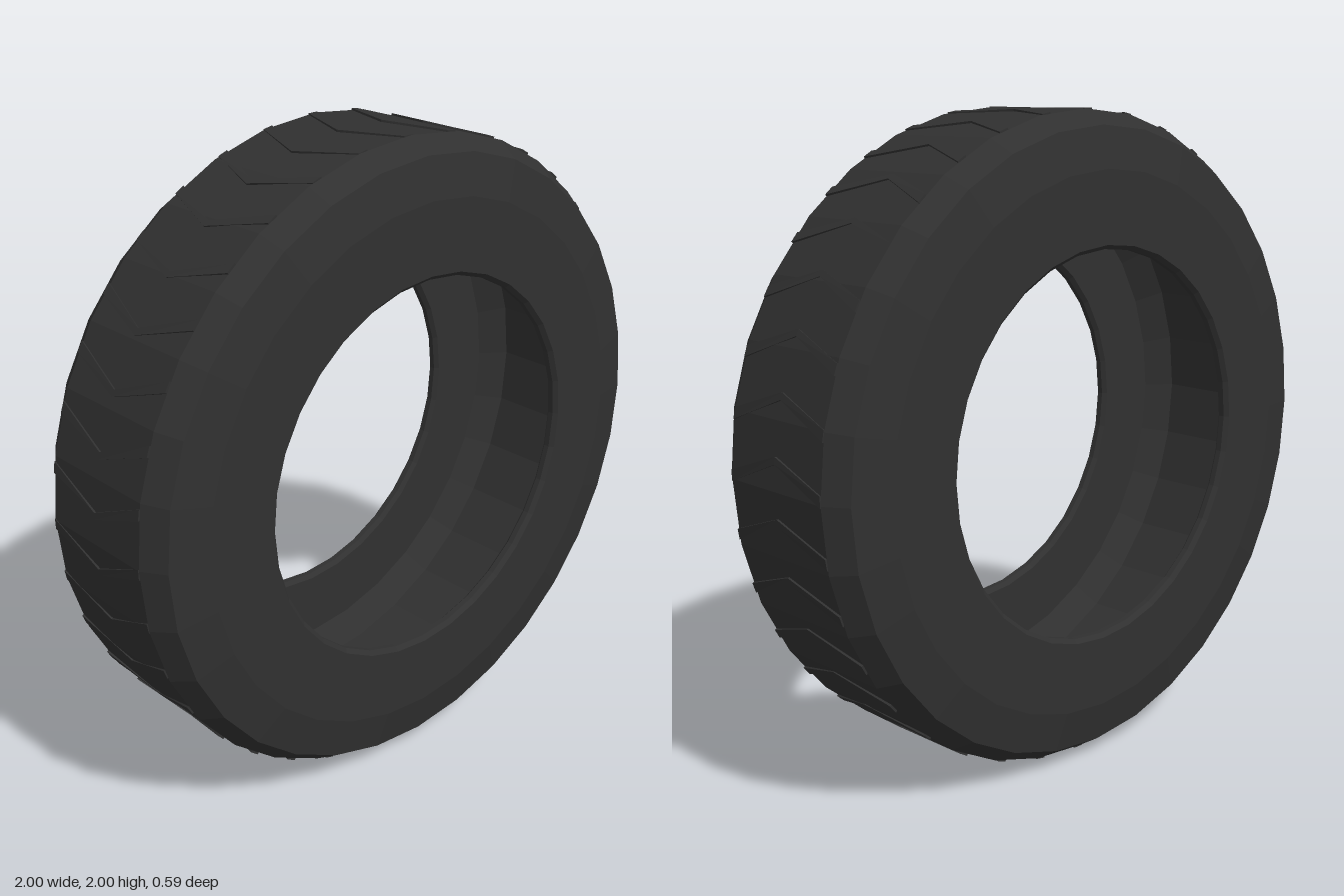
import * as THREE from 'three';

const SIDES = 32;
const CHEVRONS = 36;

// One V-shaped tread rib wrapped on the tread: x is radius, y is arc, z is width
function chevronGeometry() {
  const geo = new THREE.BoxGeometry(0.03, 0.03, 0.4, 1, 1, 2);
  const p = geo.attributes.position;
  for (let i = 0; i < p.count; i++) {
    const spread = Math.abs(p.getZ(i));
    const radius = 0.987 + p.getX(i);
    const angle = p.getY(i) * (0.7 + 2 * spread) - 0.38 * spread;
    p.setXY(i, radius * Math.cos(angle), radius * Math.sin(angle));
  }
  geo.computeVertexNormals();
  return geo;
}

export function createModel() {
  const model = new THREE.Group();
  model.name = 'tyre';
  const rubber = new THREE.MeshStandardMaterial({ color: 0x303030, flatShading: true });

  // Hollow casing: half profile (radius, z) from tread to bead to inner wall, mirrored
  const outer = [[1, 0.2], [0.955, 0.27], [0.83, 0.293], [0.61, 0.293], [0.597, 0.28], [0.597, 0.262]];
  const inner = [[0.61, 0.25], [0.82, 0.25], [0.9, 0.19]];
  const half = [...outer, ...inner];
  const mirrored = half.map(([r, z]) => [r, -z]).reverse();
  const profile = [...half, ...mirrored, half[0]].map(([r, z]) => new THREE.Vector2(r, z));
  const casing = new THREE.Mesh(new THREE.LatheGeometry(profile, SIDES).rotateX(Math.PI / 2), rubber);
  casing.name = 'casing';
  model.add(casing);

  // Chevron ribs around the tread
  const tread = new THREE.Group();
  tread.name = 'treadPattern';
  const rib = chevronGeometry();
  for (let i = 0; i < CHEVRONS; i++) {
    const mesh = new THREE.Mesh(rib, rubber);
    mesh.name = 'treadChevron';
    mesh.rotation.z = ((i + 0.5) / CHEVRONS) * Math.PI * 2;
    tread.add(mesh);
  }
  model.add(tread);

  // Stand the tyre on the floor
  for (const part of [casing, tread]) part.position.y = 1;
  return model;
}
